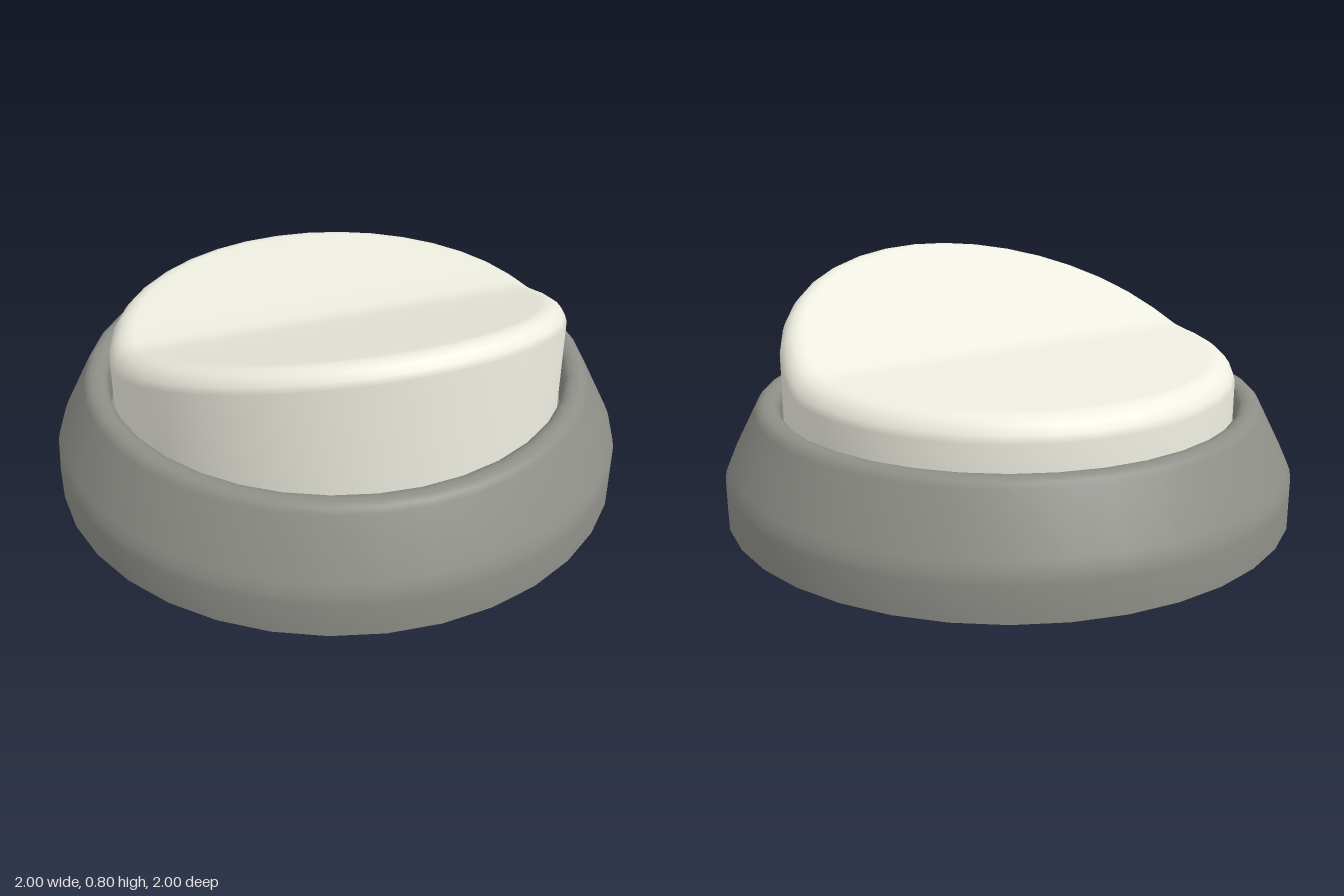
import * as THREE from 'three';
import { toCreasedNormals } from 'three/addons/utils/BufferGeometryUtils.js';

const SEGMENTS = 36;

// Height of the rocker's top: flat at the back, rising towards the front
const topHeight = z => 0.54 + 0.18 * (z + Math.sqrt(z * z + 0.0012));

// Round body whose bevelled rim follows the bent top
function rockerGeometry() {
  const degrees = [];
  for (let i = 0; i < SEGMENTS; i++) degrees.push(i * 360 / SEGMENTS);
  degrees.push(86, 94, 266, 274); // extra rows to round the fold
  degrees.sort((a, b) => a - b);
  const n = degrees.length;

  // [radius, drop below the top]; the first ring sits at a fixed height
  const rings = [[0.79, null], [0.79, 0.075], [0.782, 0.05], [0.765, 0.026],
    [0.745, 0.01], [0.72, 0.001], [0.7, 0]];
  const positions = [], index = [];
  for (const [r, drop] of rings) {
    for (const d of degrees) {
      const a = THREE.MathUtils.degToRad(d);
      const z = r * Math.cos(a);
      positions.push(r * Math.sin(a), drop === null ? 0.26 : topHeight(z) - drop, z);
    }
  }
  for (let k = 0; k < rings.length - 1; k++) {
    for (let i = 0; i < n; i++) {
      const j = (i + 1) % n, a = k * n, b = a + n;
      index.push(a + i, a + j, b + i, a + j, b + j, b + i);
    }
  }
  // Top face in strips running across x, underside likewise
  const last = (rings.length - 1) * n;
  for (let i = 0; i < n / 2; i++) {
    const l0 = (n - i) % n, l1 = n - i - 1;
    if (i > 0) {
      index.push(last + i, last + i + 1, last + l0);
    }
    if (i + 1 < n / 2) {
      index.push(last + i + 1, last + l1, last + l0);
    }
  }
  const geometry = new THREE.BufferGeometry();
  geometry.setAttribute('position', new THREE.Float32BufferAttribute(positions, 3));
  geometry.setIndex(index);
  geometry.computeVertexNormals();
  return geometry;
}

// Tapered housing with a rounded rim and a narrow recess for the rocker
function housingGeometry() {
  const profile = [
    [0, 0], [1, 0], [1, 0.12], [0.995, 0.15], [0.98, 0.185],
    [0.888, 0.365], [0.877, 0.382], [0.86, 0.391], [0.84, 0.393],
    [0.822, 0.389], [0.808, 0.378], [0.802, 0.36], [0.802, 0.26], [0.7, 0.26],
  ].map(([x, y]) => new THREE.Vector2(x, y));
  return toCreasedNormals(new THREE.LatheGeometry(profile, SEGMENTS), 0.65);
}

export function createModel() {
  const group = new THREE.Group();
  group.name = 'rockerSwitch';

  const housing = new THREE.Mesh(housingGeometry(),
    new THREE.MeshStandardMaterial({ color: 0x8e8f88 }));
  housing.name = 'housing';

  const rocker = new THREE.Mesh(rockerGeometry(),
    new THREE.MeshStandardMaterial({ color: 0xeeeee2 }));
  rocker.name = 'rocker';

  group.add(housing, rocker);
  return group;
}
